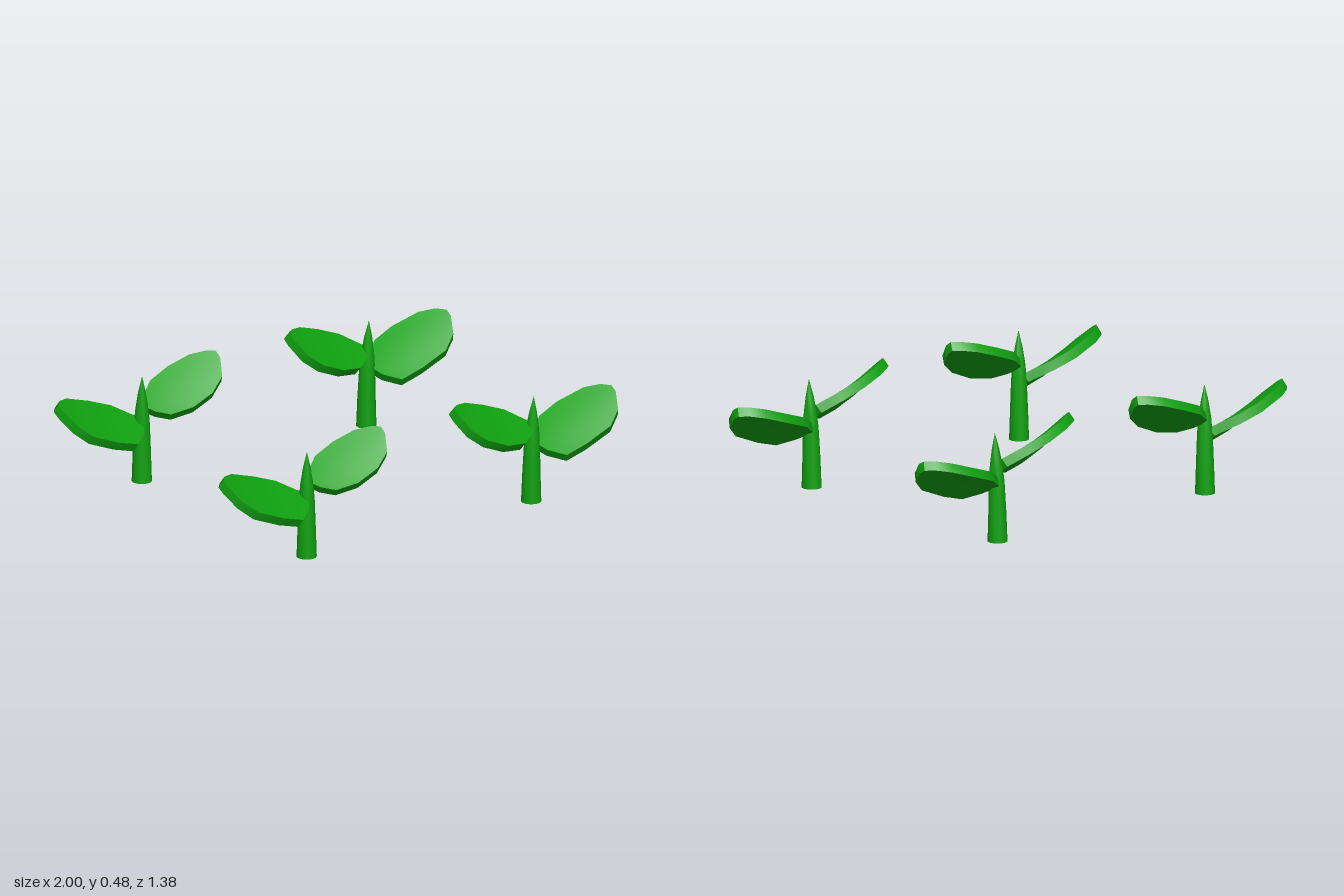
import * as THREE from 'three';
import { toCreasedNormals } from 'three/addons/utils/BufferGeometryUtils.js';

const green = new THREE.MeshStandardMaterial({ color: 0x10a010 });
green.name = 'leaf green';

// Leaf stations: distance from the stem, back edge z, front edge z
const bigLeaf = {
  rows: [[0.01, -0.015, 0.025], [0.035, -0.03, 0.065], [0.1, -0.08, 0.113], [0.2, -0.097, 0.113],
    [0.325, -0.08, 0.11], [0.385, -0.045, 0.08], [0.416, -0.01, 0.02]],
  base: 0.265, tip: 0.405, sag: 0.02, tilt: 0.57, thick: 0.04,
};
const smallLeaf = {
  rows: [[0.01, -0.015, 0.025], [0.035, -0.03, 0.05], [0.09, -0.065, 0.083], [0.19, -0.078, 0.1],
    [0.29, -0.066, 0.098], [0.355, -0.035, 0.075], [0.385, -0.01, 0.02]],
  base: 0.335, tip: 0.472, sag: 0.018, tilt: 0.7, thick: 0.04,
};

// Slightly cupped blade of even thickness, growing towards dir * x
function leafGeometry({ rows, base, tip, sag, tilt, thick }, dir) {
  const across = 4, end = rows.length - 1, length = rows[end][0];
  const slope = (tip - base) / length;
  const drop = new THREE.Vector3(slope, -1, -tilt).normalize().multiplyScalar(thick);
  const top = rows.map(([x, zb, zf]) => Array.from({ length: across + 1 }, (_, j) => {
    const z = zb + (zf - zb) * j / across, t = x / length;
    const y = base + slope * x - sag * 4 * t * (1 - t) - tilt * z - z * z * 0.9 + 0.004;
    return new THREE.Vector3(x, y, z);
  }));
  const bottom = top.map(row => row.map(p => p.clone().add(drop)));
  const pos = [];
  const quad = (a, b, c, d) => {
    const corners = dir > 0 ? [a, b, c, a, c, d] : [a, c, b, a, d, c];
    corners.forEach(p => pos.push(p.x * dir, p.y, p.z));
  };
  for (let i = 0; i < end; i++) {
    const k = i + 1;
    for (let j = 0; j < across; j++) {
      quad(top[i][j], top[i][j + 1], top[k][j + 1], top[k][j]);
      quad(bottom[i][j], bottom[k][j], bottom[k][j + 1], bottom[i][j + 1]);
    }
    // front and back rims
    quad(top[i][across], bottom[i][across], bottom[k][across], top[k][across]);
    quad(top[k][0], bottom[k][0], bottom[i][0], top[i][0]);
  }
  // tip and base rims
  for (let j = 0; j < across; j++) {
    quad(top[end][j + 1], bottom[end][j + 1], bottom[end][j], top[end][j]);
    quad(top[0][j], bottom[0][j], bottom[0][j + 1], top[0][j + 1]);
  }
  const geo = new THREE.BufferGeometry();
  geo.setAttribute('position', new THREE.Float32BufferAttribute(pos, 3));
  return toCreasedNormals(geo, 0.6);
}

// Tapered stem ending in a pointed bud, bending slightly near the top
function stemGeometry(dir) {
  const profile = [[0, 0], [0.042, 0], [0.038, 0.12], [0.033, 0.25], [0.027, 0.32], [0.016, 0.39], [0, 0.46]];
  const geo = new THREE.LatheGeometry(profile.map(p => new THREE.Vector2(...p)), 12);
  const p = geo.attributes.position;
  for (let i = 0; i < p.count; i++) {
    const bend = Math.pow(p.getY(i) / 0.46, 2);
    p.setX(i, p.getX(i) + dir * 0.006 * bend);
    p.setZ(i, p.getZ(i) + 0.01 * bend);
  }
  return toCreasedNormals(geo, 0.7);
}

function part(name, geometry) {
  const mesh = new THREE.Mesh(geometry, green);
  mesh.name = name;
  return mesh;
}

export function createModel() {
  const model = new THREE.Group();
  model.name = 'sprouts';
  for (const side of [1, -1]) {
    const stem = stemGeometry(side);
    const outer = leafGeometry(bigLeaf, side);
    const inner = leafGeometry(smallLeaf, -side);
    for (const row of [1, -1]) {
      const sprout = new THREE.Group();
      sprout.name = `${row > 0 ? 'front' : 'back'}${side > 0 ? 'Left' : 'Right'}Sprout`;
      sprout.add(part('stem', stem), part('outerLeaf', outer), part('innerLeaf', inner));
      sprout.position.set(side * 0.572, 0, row * 0.573);
      model.add(sprout);
    }
  }
  return model;
}
